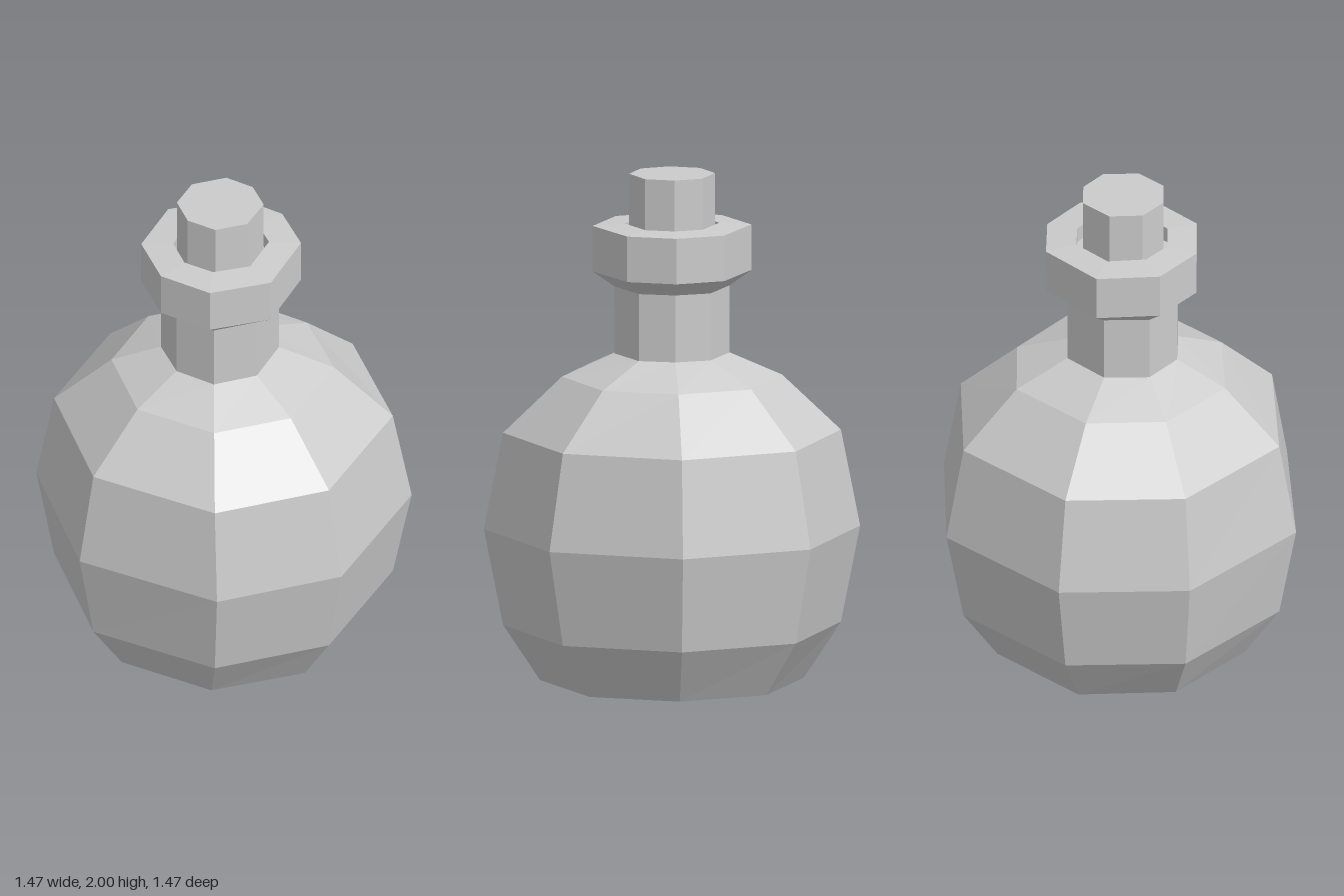
import * as THREE from 'three';

const material = new THREE.MeshStandardMaterial({ color: 0xcccccc, flatShading: true });
const AXIS_X = -0.02; // x of the front and back corners on every ring

// One slightly uneven octagon, mirrored front to back.
// Row: y, right tip x, right diagonal x and z, front z, left diagonal x and z, left tip x
function ring([y, xr, rx, rz, zf, lx, lz, xl]) {
  return [
    [xr, y, 0], [rx, y, rz], [AXIS_X, y, zf], [lx, y, lz],
    [xl, y, 0], [lx, y, -lz], [AXIS_X, y, -zf], [rx, y, -rz],
  ];
}

// Skin a stack of rings and cap both ends
function loft(name, rows) {
  const rings = rows.map(ring);
  const n = 8;
  const index = [];
  for (let k = 0; k < rings.length - 1; k++) {
    for (let i = 0; i < n; i++) {
      const j = (i + 1) % n;
      const a = k * n + i, b = k * n + j, c = a + n, d = b + n;
      index.push(b, a, c, b, c, d);
    }
  }
  const top = (rings.length - 1) * n;
  for (let i = 1; i < n - 1; i++) {
    index.push(0, i, i + 1);
    index.push(top, top + i + 1, top + i);
  }
  const indexed = new THREE.BufferGeometry();
  indexed.setAttribute('position', new THREE.Float32BufferAttribute(rings.flat(2), 3));
  indexed.setIndex(index);
  const geometry = indexed.toNonIndexed();
  geometry.computeVertexNormals();
  const mesh = new THREE.Mesh(geometry, material);
  mesh.name = name;
  return mesh;
}

export function createModel() {
  const group = new THREE.Group();
  group.name = 'flask';

  const wall = [0.205, 0.165, 0.14, 0.225, -0.185, 0.16, -0.24];
  const shoulder = [0.66, 0.48, 0.455, 0.66, -0.455, 0.485, -0.665];
  const rim = [0.30, 0.235, 0.19, 0.31, -0.245, 0.207, -0.32];
  const mouth = [0.175, 0.138, 0.112, 0.185, -0.155, 0.12, -0.2];
  const plug = [0.15, 0.11, 0.113, 0.167, -0.14, 0.116, -0.183];

  // Round belly with a flat base
  group.add(loft('body', [
    [0, 0.51, 0.38, 0.345, 0.515, -0.37, 0.365, -0.52],
    [0.22, ...shoulder],
    [0.6, 0.73, 0.53, 0.51, 0.735, -0.495, 0.545, -0.735],
    [0.98, ...shoulder],
    [1.2, 0.425, 0.32, 0.29, 0.43, -0.31, 0.31, -0.44],
    [1.29, ...wall],
  ]));

  // Straight neck
  group.add(loft('neck', [[1.28, ...wall], [1.555, ...wall]]));

  // Flared collar with a shallow recessed mouth
  group.add(loft('collar', [
    [1.555, ...wall], [1.615, ...rim], [1.795, ...rim], [1.803, ...mouth], [1.74, ...mouth],
  ]));

  // Stopper seated in the mouth
  group.add(loft('stopper', [[1.7, ...plug], [2, ...plug]]));

  return group;
}
